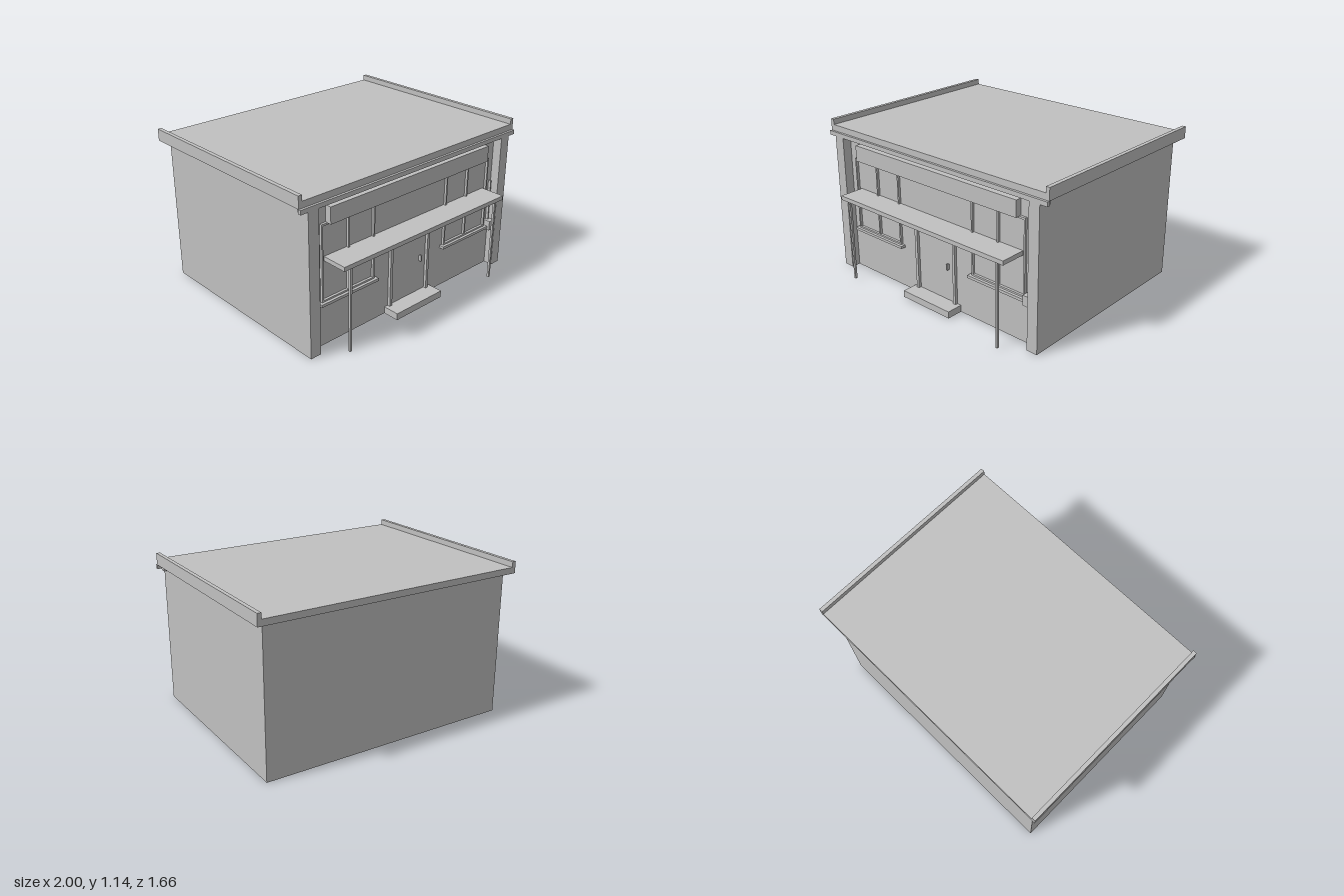
import * as THREE from 'three';

export function createModel() {
  const model = new THREE.Group();
  const grey = new THREE.MeshStandardMaterial({ color: 0xc0c0c0 });
  grey.name = 'light grey';
  const WALL = 0.644; // z of the front wall

  // Box given by its limits on each axis
  function box(name, x0, x1, y0, y1, z0, z1, parent = model) {
    const mesh = new THREE.Mesh(new THREE.BoxGeometry(x1 - x0, y1 - y0, z1 - z0), grey);
    mesh.position.set((x0 + x1) / 2, (y0 + y1) / 2, (z0 + z1) / 2);
    mesh.name = name;
    parent.add(mesh);
    return mesh;
  }

  // Main block
  box('walls', -0.942, 0.942, 0, 1.056, -0.775, WALL);

  // Roof slab with raised side edges, drawn as one section and extruded
  const section = new THREE.Shape([
    [-1, 1.055], [1, 1.055], [1, 1.14], [0.972, 1.14], [0.972, 1.1],
    [-0.972, 1.1], [-0.972, 1.14], [-1, 1.14],
  ].map(([x, y]) => new THREE.Vector2(x, y)));
  const roof = new THREE.Mesh(
    new THREE.ExtrudeGeometry(section, { depth: 1.524, bevelEnabled: false }), grey);
  roof.position.z = -0.828;
  roof.name = 'roof';
  model.add(roof);

  // Cornice under the front edge
  box('cornice', -1, 1, 1.024, 1.055, 0.69, 0.713);
  box('corniceBacking', -0.97, 0.97, 1.013, 1.046, WALL, 0.69);

  // Corner pillars and canopy posts
  for (const s of [-1, 1]) {
    box('pillar', s * 0.901 - 0.041, s * 0.901 + 0.041, 0, 1.03, WALL, 0.711);
    box('canopyPost', s * 0.7 - 0.008, s * 0.7 + 0.008, 0, 0.615, 0.803, 0.819);
  }

  // Canopy, fascia board and doorstep
  box('canopy', -0.768, 0.766, 0.614, 0.645, WALL, 0.832);
  box('fasciaBoard', -0.75, 0.745, 0.873, 0.99, WALL, 0.69);
  box('doorstep', -0.224, 0.22, 0, 0.05, WALL, 0.765);

  // Door frame and handle
  box('doorJamb', -0.195, -0.172, 0.05, 0.605, WALL, 0.665);
  box('doorJamb', 0.167, 0.188, 0.05, 0.605, WALL, 0.665);
  box('doorHandle', 0.105, 0.117, 0.288, 0.332, WALL, 0.665);

  // Two-pane windows: an open frame with a central bar, and a sill
  function addWindow(name, x0, x1) {
    const win = new THREE.Group();
    win.name = name;
    const mid = (x0 + x1) / 2;
    const y0 = 0.33, y1 = 0.877, front = 0.662;
    box('frameLeft', x0, x0 + 0.012, y0, y1, WALL, front, win);
    box('frameRight', x1 - 0.012, x1, y0, y1, WALL, front, win);
    box('frameBar', mid - 0.006, mid + 0.006, y0, y1, WALL, front, win);
    box('frameTop', x0, x1, y1 - 0.014, y1, WALL, front, win);
    box('frameBottom', x0, x1, y0, y0 + 0.014, WALL, front, win);
    box('sill', x0 - 0.022, x1 + 0.022, 0.312, 0.332, WALL, 0.682, win);
    model.add(win);
  }
  addWindow('rightWindow', -0.8, -0.346);
  addWindow('leftWindow', 0.342, 0.796);

  // Meter box beside the left pillar with its conduit
  box('meterBox', 0.812, 0.862, 0.302, 0.375, WALL, 0.70);
  box('conduit', 0.835, 0.843, 0.375, 0.688, WALL, 0.665);

  return model;
}
